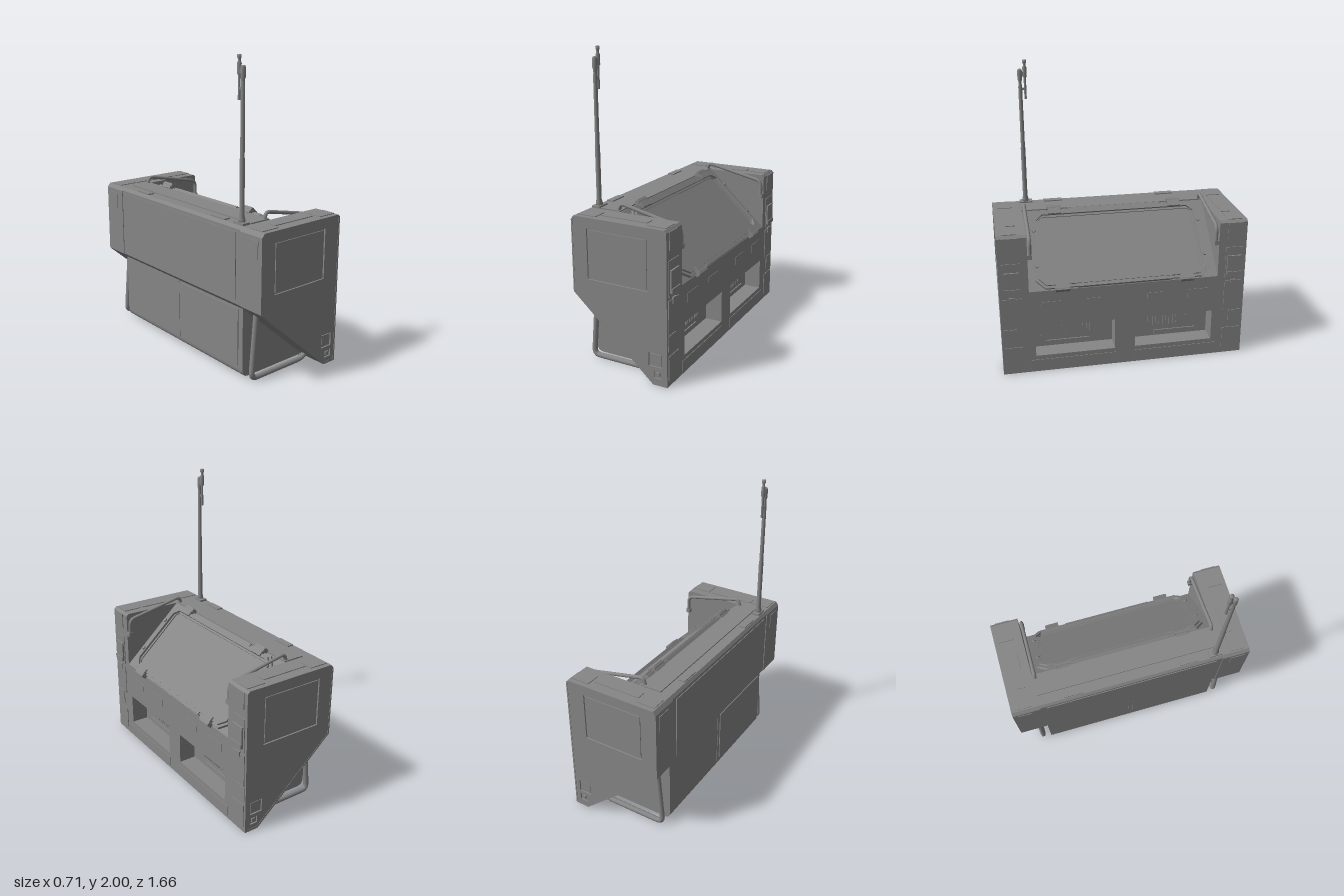
import * as THREE from 'three';

const body = new THREE.MeshStandardMaterial({ color: 0x868686 });
body.name = 'grey casing';

const shapeOf = pts => new THREE.Shape(pts.map(p => new THREE.Vector2(p[0], p[1])));
const rectPts = (x0, x1, y0, y1) => [[x0, y0], [x1, y0], [x1, y1], [x0, y1]];
// Rectangle with corners cut at 45 degrees
const cutRect = (a, b, c) => [[-a + c, -b], [a - c, -b], [a, -b + c], [a, b - c], [a - c, b], [-a + c, b], [-a, b - c], [-a, -b + c]];

export function createModel() {
  const root = new THREE.Group();
  root.name = 'fieldUnit';

  const add = (name, geo, parent = root) => {
    const m = new THREE.Mesh(geo, body);
    m.name = name;
    parent.add(m);
    return m;
  };
  // Box given by its limits on each axis
  const box = (name, x0, x1, y0, y1, z0, z1, parent = root) => {
    const m = add(name, new THREE.BoxGeometry(x1 - x0, y1 - y0, Math.abs(z1 - z0)), parent);
    m.position.set((x0 + x1) / 2, (y0 + y1) / 2, (z0 + z1) / 2);
    return m;
  };
  const extrude = (pts, depth, holes = []) => {
    const s = shapeOf(pts);
    holes.forEach(h => s.holes.push(shapeOf(h)));
    return new THREE.ExtrudeGeometry(s, { depth, bevelEnabled: false, curveSegments: 6 });
  };
  const slab = (name, pts, z0, z1, holes) => add(name, extrude(pts, z1 - z0, holes).translate(0, 0, z0));
  const rod = (name, pts, r, parent = root) => {
    // Straight runs joined by short rounded bends
    const v = pts.map(p => new THREE.Vector3(...p));
    const path = new THREE.CurvePath();
    let from = v[0];
    for (let i = 1; i < v.length - 1; i++) {
      const toPrev = v[i - 1].clone().sub(v[i]), toNext = v[i + 1].clone().sub(v[i]);
      const bend = Math.min(0.045, toPrev.length() * 0.45, toNext.length() * 0.45);
      const a = v[i].clone().addScaledVector(toPrev.normalize(), bend);
      const b = v[i].clone().addScaledVector(toNext.normalize(), bend);
      path.add(new THREE.LineCurve3(from, a));
      path.add(new THREE.QuadraticBezierCurve3(a, v[i], b));
      from = b;
    }
    path.add(new THREE.LineCurve3(from, v[v.length - 1]));
    return add(name, new THREE.TubeGeometry(path, 60, r, 10, false), parent);
  };

  // Central housing with sloped face, plus front board with two deep bays
  slab('housing', [[-0.345, 0.5], [-0.3, 0.45], [0.19, 0.02], [0.19, 0.59], [0.32, 0.59], [0.32, 0.6],
    [-0.11, 1.0], [-0.33, 1.0], [-0.345, 0.98]], -0.65, 0.65);
  const board = extrude(rectPts(-0.65, 0.65, 0, 0.595), 0.13,
    [rectPts(-0.61, -0.07, 0.12, 0.34), rectPts(0.07, 0.61, 0.12, 0.34)]);
  add('frontBoard', board.rotateY(Math.PI / 2).translate(0.19, 0, 0));
  box('topPlate', -0.26, -0.115, 1.0, 1.008, -0.64, 0.64);
  box('backPanel', -0.35, -0.345, 0.53, 0.96, -0.6, 0.6);

  // Lower rear tank with a rounded bottom edge
  const tank = new THREE.Shape();
  tank.moveTo(0.2, 0.01);
  tank.lineTo(0.2, 0.5);
  tank.lineTo(-0.32, 0.5);
  tank.lineTo(-0.32, 0.06);
  tank.quadraticCurveTo(-0.32, 0.01, -0.27, 0.01);
  add('rearTank', new THREE.ExtrudeGeometry(tank, { depth: 1.28, bevelEnabled: false, curveSegments: 8 }).translate(0, 0, -0.64));
  slab('tankRearPlate', rectPts(-0.326, -0.32, 0.08, 0.46), 0.02, 0.6);
  box('tankSeam', -0.323, -0.32, 0.06, 0.48, -0.012, -0.002);
  box('tankFloorSeam', -0.26, 0.2, 0.006, 0.01, -0.006, 0.006);

  // Everything repeated at both ends
  const profile = [[0.22, 0], [0.32, 0], [0.32, 0.985], [0.305, 1.0], [-0.33, 1.0], [-0.35, 0.975], [-0.35, 0.5]];
  const inner = [[0.225, 0.015], [0.31, 0.015], [0.31, 0.98], [0.3, 0.99], [-0.325, 0.99], [-0.34, 0.97], [-0.34, 0.505]];
  for (const s of [1, -1]) {
    const span = (a, b) => s > 0 ? [a, b] : [-b, -a];
    const sideBox = (name, x0, x1, y0, y1, a, b) => box(name, x0, x1, y0, y1, ...span(a, b));

    // End cap with a recessed window and two small sockets
    slab('endCap', profile, ...span(0.64, 0.82));
    slab('endCapFace', inner, ...span(0.82, 0.83), [rectPts(-0.24, 0.19, 0.6, 0.93),
      rectPts(0.19, 0.28, 0.12, 0.21), rectPts(0.225, 0.28, 0.045, 0.095)]);
    slab('endCapRim', profile, ...span(0.82, 0.832), [inner]);
    sideBox('endWindow', -0.23, 0.18, 0.61, 0.92, 0.82, 0.826);
    sideBox('endSocket', 0.197, 0.273, 0.127, 0.203, 0.82, 0.826);
    sideBox('endStud', 0.24, 0.265, 0.058, 0.082, 0.82, 0.829);

    // Plates on the cap's top and front
    for (const [x0, x1, z1] of [[-0.32, -0.19, 0.8], [-0.18, 0.15, 0.76], [0.17, 0.3, 0.8]])
      sideBox('topCapPlate', x0, x1, 1.0, 1.005, 0.7, z1);
    for (const [y0, y1, a, b] of [[0.87, 0.985, 0.7, 0.8], [0.58, 0.81, 0.69, 0.81], [0.34, 0.56, 0.69, 0.815],
      [0.235, 0.335, 0.73, 0.82], [0.04, 0.2, 0.69, 0.815]])
      sideBox('frontCapPlate', 0.32, 0.325, y0, y1, a, b);
    sideBox('capLatch', 0.32, 0.336, 0.61, 0.75, 0.7, 0.8);
    sideBox('latchLip', 0.32, 0.342, 0.605, 0.635, 0.7, 0.8);
    sideBox('latchStud', 0.32, 0.33, 0.53, 0.57, 0.73, 0.77);
    sideBox('rearCapPlate', -0.354, -0.35, 0.84, 0.95, 0.7, 0.8);

    // Bay panel with vent bars
    sideBox('bayPanel', 0.19, 0.2, 0.125, 0.338, 0.15, 0.6);
    sideBox('baySlot', 0.2, 0.208, 0.13, 0.163, 0.23, 0.53);
    sideBox('baySwitchPlate', 0.2, 0.206, 0.2, 0.295, 0.46, 0.57);
    sideBox('ventPlate', 0.2, 0.21, 0.2, 0.295, 0.18, 0.42);
    for (let i = 0; i < 8; i++) sideBox('ventBar', 0.21, 0.22, 0.21, 0.285, 0.215 + i * 0.024, 0.228 + i * 0.024);
    // Thin plates on the front board
    sideBox('footPlate', 0.32, 0.324, 0.02, 0.09, 0.065, 0.645);
    sideBox('boardPlate', 0.32, 0.323, 0.46, 0.52, 0.43, 0.57);
    sideBox('boardPlate', 0.32, 0.323, 0.46, 0.52, 0.15, 0.28);
    sideBox('topLatch', -0.325, -0.28, 1.0, 1.008, 0.34, 0.47);

    // Rail beside the screen and foot loop below the cap
    rod('screenRail', [[-0.14, 0.99, s * 0.622], [-0.12, 1.05, s * 0.622], [0.305, 0.96, s * 0.622], [0.305, 0.84, s * 0.622]], 0.012);
    box('railFoot', 0.29, 0.32, 0.83, 0.86, ...span(0.61, 0.65));
    rod('footLoop', [[-0.262, 0.47, s * 0.7], [-0.3, 0.019, s * 0.7], [0.14, 0.019, s * 0.7], [0.2, 0.06, s * 0.7]], 0.018);
  }

  // Sloped screen: local x runs down the slope, local y points out of it
  const screen = new THREE.Group();
  screen.name = 'screen';
  screen.position.set(0.105, 0.8, 0);
  screen.rotation.z = -Math.atan2(0.4, 0.43);
  root.add(screen);
  const ring = (name, a, b, c, a2, b2, c2, h) =>
    add(name, extrude(cutRect(a, b, c), h, [cutRect(a2, b2, c2)]).rotateX(-Math.PI / 2), screen);
  ring('outerFrame', 0.285, 0.59, 0.06, 0.245, 0.55, 0.04, 0.018);
  ring('innerFrame', 0.268, 0.572, 0.05, 0.245, 0.55, 0.04, 0.032);
  ring('glassRim', 0.246, 0.551, 0.04, 0.23, 0.535, 0.02, 0.016);
  box('glass', -0.235, 0.235, 0, 0.008, -0.54, 0.54, screen);
  for (const e of [1, -1]) {
    const x = e * 0.278;
    box('frameBar', x - 0.012, x + 0.012, 0, 0.026, -0.32, 0.32, screen);
    for (const s of [1, -1]) {
      box('hinge', x - 0.032, x + 0.032, 0, 0.042, s * 0.42 - 0.045, s * 0.42 + 0.045, screen);
      const pin = add('hingePin', new THREE.CylinderGeometry(0.016, 0.016, 0.1, 10), screen);
      pin.rotation.x = Math.PI / 2;
      pin.position.set(x + e * 0.018, 0.028, s * 0.42);
      const stud = add('frameStud', new THREE.CylinderGeometry(0.014, 0.014, 0.012, 10), screen);
      stud.position.set(e * 0.13, 0.036, s * 0.572);
    }
  }

  // Antenna: stepped mast with a folded thin tip beside it
  const turned = (name, pts, z) => {
    const m = add(name, new THREE.LatheGeometry(pts.map(p => new THREE.Vector2(p[0], p[1])), 12));
    m.position.set(-0.298, 0, z);
  };
  box('antennaBase', -0.325, -0.27, 1.0, 1.014, 0.55, 0.64);
  turned('antennaMast', [[0, 1.0], [0.022, 1.0], [0.022, 1.03], [0.016, 1.05], [0.016, 1.4], [0.014, 1.4], [0.013, 1.82],
    [0.011, 1.84], [0.011, 1.86], [0.016, 1.87], [0.016, 1.93], [0.011, 1.94], [0, 1.94]], 0.598);
  turned('antennaTip', [[0, 1.74], [0.008, 1.74], [0.008, 1.88], [0.014, 1.89], [0.014, 1.95], [0.009, 1.96],
    [0.009, 1.975], [0.013, 1.98], [0.013, 2.0], [0, 2.0]], 0.565);
  box('antennaClip', -0.306, -0.29, 1.89, 1.92, 0.565, 0.598);
  box('antennaClip', -0.304, -0.292, 1.8, 1.815, 0.565, 0.598);

  return root;
}
